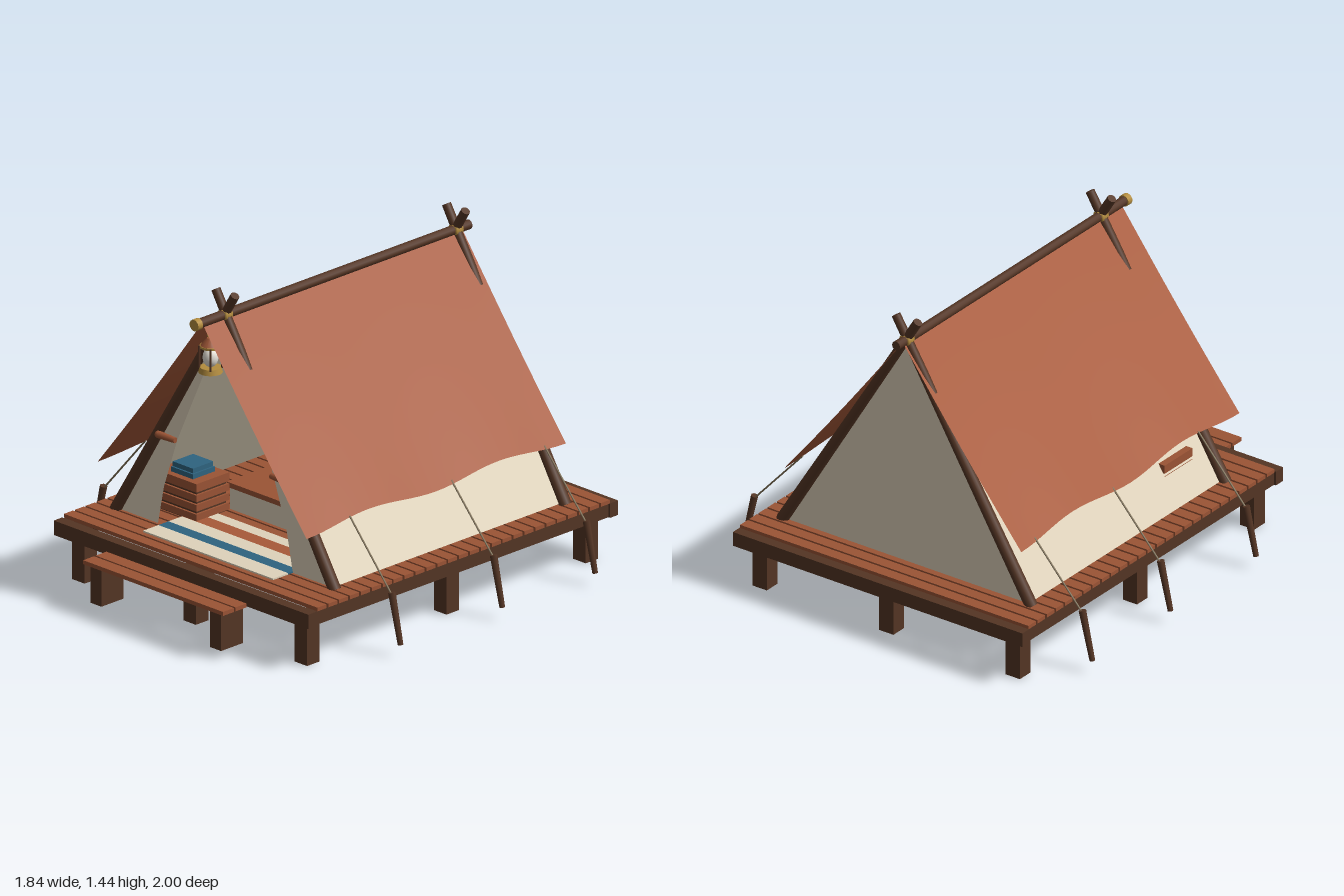
import * as THREE from 'three';

const paint = (name, color, side = THREE.FrontSide) => {
  const m = new THREE.MeshStandardMaterial({ color, side });
  m.name = name;
  return m;
};

export function createModel() {
  const darkWood = paint('dark wood', 0x543524);
  const plankWood = paint('plank wood', 0x9b5435);
  const canvasRed = paint('terracotta canvas', 0xa85a39, THREE.DoubleSide);
  const cream = paint('cream cloth', 0xdfd3bb, THREE.DoubleSide);
  const brass = paint('brass', 0xb48d3e);
  const blue = paint('blue cloth', 0x2f6480);
  const rope = paint('rope', 0x84755a);
  const glass = paint('lantern glass', 0xe9e4da);

  const model = new THREE.Group();
  const group = (name, parent = model) => {
    const g = new THREE.Group();
    g.name = name;
    parent.add(g);
    return g;
  };
  const add = (parent, name, geometry, material, x = 0, y = 0, z = 0) => {
    const m = new THREE.Mesh(geometry, material);
    m.name = name;
    m.position.set(x, y, z);
    parent.add(m);
    return m;
  };
  // box given by its limits on each axis
  const box = (parent, name, mat, x0, x1, y0, y1, z0, z1) =>
    add(parent, name, new THREE.BoxGeometry(x1 - x0, y1 - y0, z1 - z0), mat,
      (x0 + x1) / 2, (y0 + y1) / 2, (z0 + z1) / 2);
  // tapered rod between two points
  const rod = (parent, name, mat, a, b, ra, rb = ra, sides = 10) => {
    const p = new THREE.Vector3(...a), q = new THREE.Vector3(...b);
    const m = add(parent, name, new THREE.CylinderGeometry(rb, ra, p.distanceTo(q), sides), mat);
    m.position.copy(p).add(q).multiplyScalar(0.5);
    m.quaternion.setFromUnitVectors(new THREE.Vector3(0, 1, 0), q.sub(p).normalize());
    return m;
  };
  // flat cloth panel in the xy plane
  const panel = (parent, name, points, z) =>
    add(parent, name, new THREE.ShapeGeometry(new THREE.Shape(points.map(p => new THREE.Vector2(...p)))), cream, 0, 0, z);

  // deck: rim beams, centre beam, planks and posts
  const deck = group('deck');
  box(deck, 'frontBeam', darkWood, -0.755, 0.755, 0.197, 0.262, 0.785, 0.835);
  box(deck, 'backBeam', darkWood, -0.755, 0.755, 0.197, 0.262, -1, -0.952);
  for (const x of [-0.717, 0, 0.717])
    box(deck, 'longBeam', darkWood, x - 0.028, x + 0.028, 0.197, 0.26, -0.952, 0.785);
  const count = 27, pitch = 1.742 / count;
  for (let i = 0; i < count; i++) {
    const z = -0.953 + i * pitch;
    box(deck, 'plank', plankWood, -0.752, 0.752, 0.26, 0.277, z, z + pitch - 0.011);
  }
  for (const x of [-0.66, 0, 0.66])
    for (const z of [0.747, -0.078, -0.902])
      box(deck, 'post', darkWood, x - 0.037, x + 0.037, 0, 0.2, z - 0.037, z + 0.037);

  // entrance step
  const step = group('step');
  box(step, 'stepBoard', plankWood, -0.415, 0.415, 0.207, 0.225, 0.862, 0.926);
  box(step, 'stepBoard', plankWood, -0.415, 0.415, 0.207, 0.225, 0.936, 1);
  for (const x of [-0.355, 0.355])
    box(step, 'stepLeg', darkWood, x - 0.033, x + 0.033, 0.037, 0.207, 0.855, 0.985);

  // crossed poles, lashings and ridge
  const frame = group('frame');
  const frontZ = 0.572, backZ = -0.793, ridgeY = 1.332;
  for (const z of [frontZ, backZ]) {
    for (const s of [-1, 1]) {
      rod(frame, 'crossedPole', darkWood, [s * 0.65, 0.27, z], [-s * 0.057, 1.43, z], 0.028, 0.02);
      const lash = add(frame, 'lashing', new THREE.TorusGeometry(0.024, 0.009, 8, 16), brass, 0, ridgeY, z);
      lash.rotation.y = s * 0.65;
    }
    add(frame, 'lashingKnot', new THREE.SphereGeometry(0.03, 12, 8), brass, 0, ridgeY, z);
  }
  rod(frame, 'ridgePole', darkWood, [0, ridgeY, -0.87], [0, ridgeY, 0.745], 0.021, 0.021, 12);
  rod(frame, 'ridgeCap', brass, [0, ridgeY, 0.73], [0, ridgeY, 0.758], 0.026, 0.026, 14);

  // fly sheet with a wavy hem
  const flySheet = group('flySheet');
  const hemLift = z => 0.0125 * (1 - Math.cos((z - 0.71) / 1.535 * Math.PI * 4));
  for (const s of [-1, 1]) {
    const g = new THREE.PlaneGeometry(1, 1, 32, 8);
    const p = g.attributes.position;
    for (let i = 0; i < p.count; i++) {
      const z = 0.71 - (p.getX(i) + 0.5) * 1.535, t = 0.5 - p.getY(i);
      const lift = hemLift(z) * t * t;
      p.setXYZ(i, s * (0.62 * t - lift * 0.6), 1.33 - 0.8 * t + lift - 0.01 * Math.sin(Math.PI * t), z);
    }
    if (s < 0) g.index.array.reverse();
    g.computeVertexNormals();
    add(flySheet, 'flySheetSide', g, canvasRed);
  }

  // inner tent: sloping walls, closed back and tied front flaps
  const tent = group('innerTent');
  const top = 1.31, foot = 0.277, half = 0.635;
  panel(tent, 'backWall', [[-half, foot], [half, foot], [0, top]], backZ);
  for (const s of [-1, 1]) {
    const wall = new THREE.PlaneGeometry(frontZ - backZ, Math.hypot(half, top - foot));
    wall.rotateX(-Math.atan2(half, top - foot));
    wall.rotateY(s * Math.PI / 2);
    add(tent, 'sideWall', wall, cream, s * half / 2, (top + foot) / 2, (frontZ + backZ) / 2);
    panel(tent, 'frontFlap', [[0, top], [s * half, foot], [s * 0.4, foot], [s * 0.365, 0.45],
      [s * 0.285, 0.685], [s * 0.14, 1.0]], frontZ);
    const tie = rod(tent, 'flapTie', plankWood, [s * 0.285, 0.685, frontZ + 0.012], [s * 0.375, 0.69, frontZ + 0.022], 0.013, 0.017);
    add(tie, 'tieEnd', new THREE.SphereGeometry(0.017, 10, 8), plankWood, 0, 0.045, 0);
  }

  // guy lines and stakes
  const guys = group('guyLines');
  for (const s of [-1, 1])
    for (const z of [0.44, -0.162, -0.712]) {
      rod(guys, 'guyLine', rope, [s * 0.605, 0.545 + hemLift(z) * 0.5, z], [s * 0.856, 0.268, z], 0.004, 0.004, 6);
      rod(guys, 'stake', darkWood, [s * 0.907, 0.058, z], [s * 0.855, 0.28, z], 0.012, 0.016, 8);
    }

  // hanging lantern
  const lantern = group('lantern');
  lantern.position.z = 0.66;
  rod(lantern, 'base', brass, [0, 1.096, 0], [0, 1.12, 0], 0.052, 0.046, 16);
  const globe = add(lantern, 'glassGlobe', new THREE.SphereGeometry(0.034, 14, 10), glass, 0, 1.163, 0);
  globe.scale.y = 1.3;
  for (let i = 0; i < 4; i++) {
    const a = Math.PI / 4 + i * Math.PI / 2, x = 0.048 * Math.cos(a), z = 0.048 * Math.sin(a);
    rod(lantern, 'cageBar', darkWood, [x, 1.115, z], [x, 1.215, z], 0.005, 0.005, 6);
  }
  rod(lantern, 'rim', brass, [0, 1.207, 0], [0, 1.217, 0], 0.046, 0.046, 16);
  rod(lantern, 'roof', plankWood, [0, 1.217, 0], [0, 1.25, 0], 0.043, 0.016, 16);
  add(lantern, 'handle', new THREE.TorusGeometry(0.016, 0.004, 6, 14), brass, 0, 1.262, 0);
  rod(lantern, 'cord', darkWood, [0, 1.27, 0], [0, 1.32, 0], 0.005, 0.005, 6);

  // bed with blanket and two pillows
  const bed = group('bed');
  box(bed, 'mattress', cream, -0.3, 0.41, 0.277, 0.377, -0.76, 0.245);
  box(bed, 'blanket', plankWood, -0.31, 0.42, 0.377, 0.4, -0.765, 0.255);
  for (const [x, mat] of [[-0.1, blue], [0.21, cream]]) {
    const pillow = add(bed, 'pillow', new THREE.SphereGeometry(1, 20, 12), mat, x, 0.418, -0.6);
    pillow.scale.set(0.138, 0.042, 0.1);
  }

  // slatted crate with a folded blanket
  const crate = group('crate');
  box(crate, 'crateCore', darkWood, -0.55, -0.295, 0.277, 0.445, 0.275, 0.45);
  for (let i = 0; i < 4; i++) {
    const y = 0.285 + i * 0.043;
    box(crate, 'slat', plankWood, -0.56, -0.285, y, y + 0.03, 0.265, 0.46);
  }
  box(crate, 'crateTop', plankWood, -0.56, -0.285, 0.44, 0.452, 0.265, 0.46);
  box(crate, 'foldedBlanket', blue, -0.465, -0.335, 0.452, 0.474, 0.3, 0.43);
  box(crate, 'foldedBlanket', blue, -0.46, -0.34, 0.476, 0.497, 0.305, 0.425);

  // striped rug
  const rug = group('rug');
  let z = 0.33;
  for (const [depth, mat] of [[0.06, cream], [0.07, canvasRed], [0.08, cream], [0.06, blue], [0.09, cream]]) {
    box(rug, 'rugStripe', mat, -0.37, 0.4, 0.277, 0.284, z, z + depth);
    z += depth;
  }
  return model;
}
